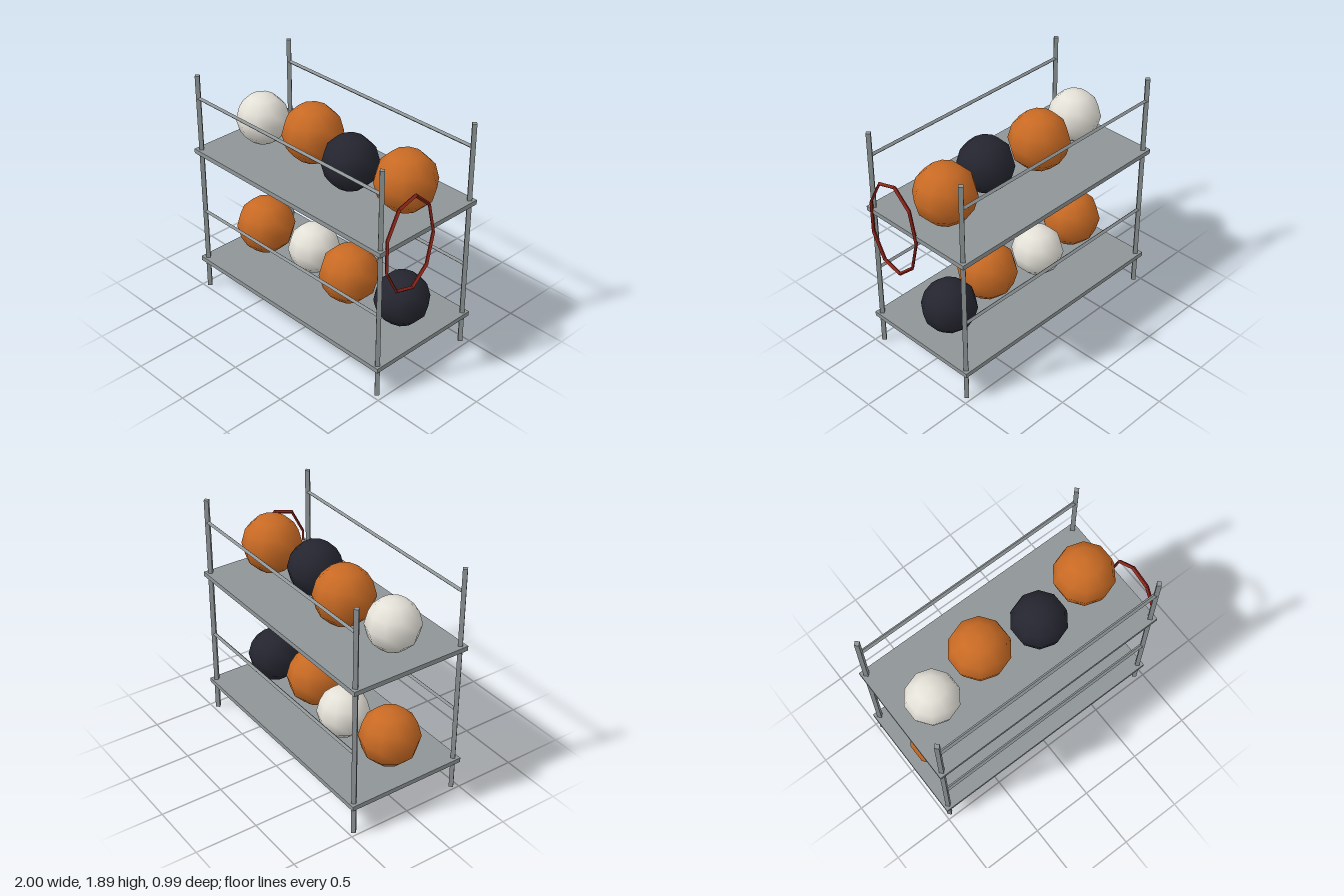
import * as THREE from 'three';

const CX = -0.008; // rack centre, offset to leave room for the hanging ring
const SHELVES = [0.254, 1.248];
const THICK = 0.037;

export function createModel() {
  const group = new THREE.Group();
  const material = (name, color, flatShading = false) => {
    const m = new THREE.MeshStandardMaterial({ color, flatShading });
    m.name = name;
    return m;
  };
  const metal = material('greyMetal', 0x8f9597, true);
  const orange = material('orangeRubber', 0xc86a24);
  const white = material('offWhiteRubber', 0xe4e1d8);
  const dark = material('darkRubber', 0x252530);
  const red = material('redRing', 0x8c2419, true);

  const add = (name, geometry, mat, x, y, z) => {
    const mesh = new THREE.Mesh(geometry, mat);
    mesh.name = name;
    mesh.position.set(x, y, z);
    group.add(mesh);
    return mesh;
  };

  // Four corner posts with a diamond section
  const post = new THREE.CylinderGeometry(0.024, 0.024, 1.888, 4);
  for (const sx of [-1, 1]) {
    for (const sz of [-1, 1]) add('post', post, metal, CX + sx * 0.952, 0.944, sz * 0.456);
  }

  // Shelf boards, each with a front and a back rail
  const board = new THREE.BoxGeometry(1.98, THICK, 0.99);
  const rail = new THREE.CylinderGeometry(0.0165, 0.0165, 1.89, 4).rotateZ(Math.PI / 2);
  for (const y of SHELVES) {
    add('shelf', board, metal, -0.01, y, 0);
    for (const sz of [-1, 1]) add('rail', rail, metal, CX, y + 0.453, sz * 0.456);
  }

  // Balls resting on the shelves, staggered front to back
  const kinds = {
    orange: [0.235, orange],
    white: [0.206, white],
    dark: [0.215, dark],
  };
  const rows = [
    ['orange', 'white', 'orange', 'dark'],
    ['white', 'orange', 'dark', 'orange'],
  ];
  rows.forEach((row, r) => row.forEach((kind, i) => {
    const [radius, mat] = kinds[kind];
    const ball = new THREE.SphereGeometry(radius, 10, 6).rotateY(Math.PI / 2);
    const y = SHELVES[r] + THICK / 2 + radius;
    add(kind + 'Ball', ball, mat, CX + (i - 1.5) * 0.475, y, i % 2 ? -0.04 : 0.038);
  }));

  // Oval ring hanging on the left side
  const ring = new THREE.TorusGeometry(0.386, 0.016, 4, 9).scale(0.62, 1, 1).rotateY(Math.PI / 2);
  add('hangingRing', ring, red, 0.984, 1.21, 0.208);

  return group;
}
